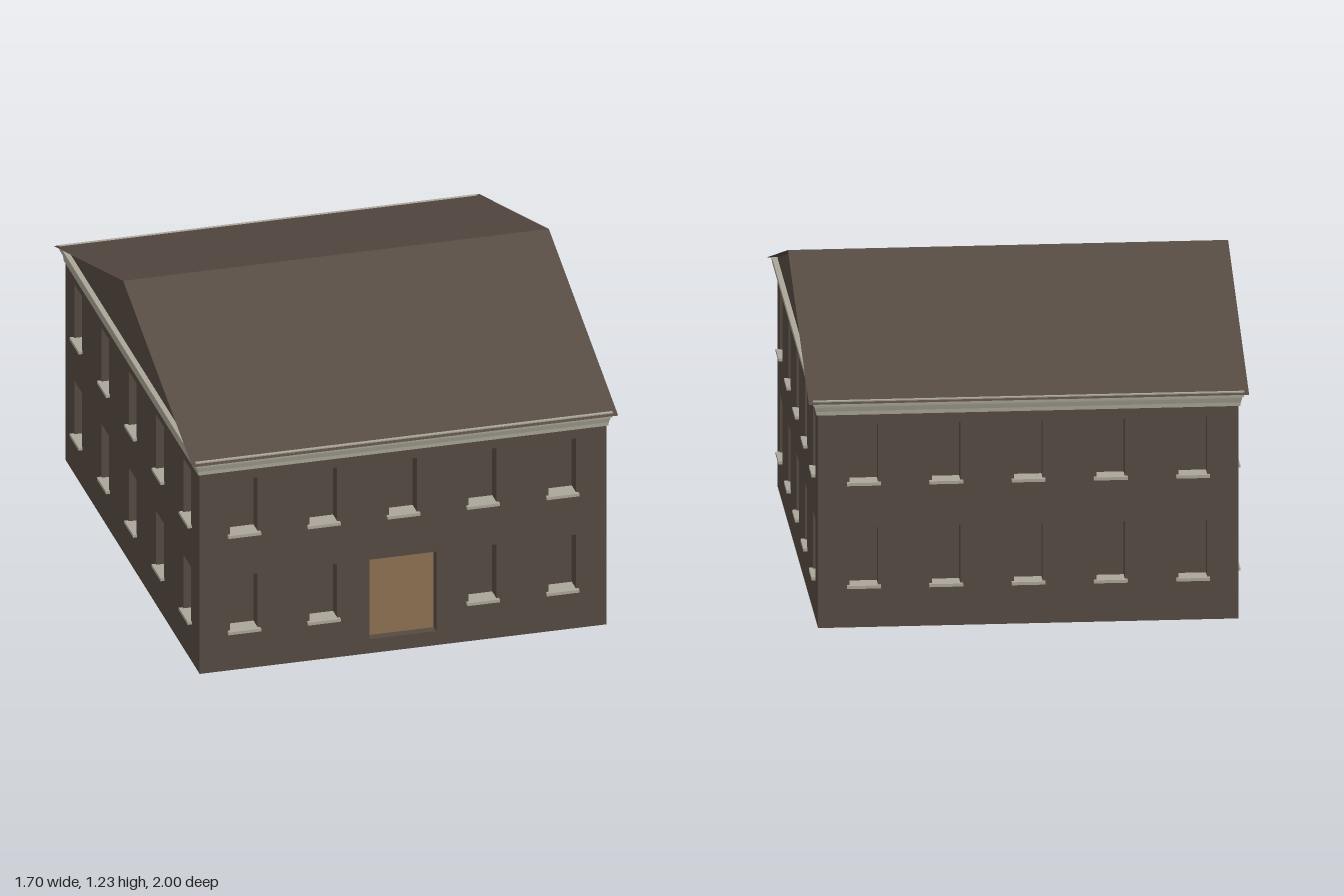
import * as THREE from 'three';

const mat = (name, color) => {
  const m = new THREE.MeshStandardMaterial({ color, side: THREE.DoubleSide });
  m.name = name;
  return m;
};

export function createModel() {
  const house = new THREE.Group();
  house.name = 'house';
  const brown = mat('brown masonry', 0x564a42);
  const stone = mat('pale stone', 0xaaa698);
  const wood = mat('door wood', 0x8c7050);

  const HX = 0.81, HZ = 0.965;        // half width and half depth of the walls
  const TOP = 0.914, RIDGE = 1.23;
  const WIN_W = 0.11, WIN_H = 0.232, WIN_D = 0.06;
  const DOOR = { w: 0.266, y: 0.06, h: 0.34, d: 0.04 };
  const ROWS = [0.168, 0.58];         // window bottoms

  const add = (parent, name, geometry, material, x = 0, y = 0, z = 0) => {
    const mesh = new THREE.Mesh(geometry, material);
    mesh.name = name;
    mesh.position.set(x, y, z);
    parent.add(mesh);
    return mesh;
  };

  // Open-fronted box lining a hole; faces beyond the kept count are dropped
  const recess = (w, h, d, withPane) => {
    const g = new THREE.BoxGeometry(w, h, d);
    const index = Array.from(g.index.array);
    g.setIndex(withPane ? [...index.slice(0, 24), ...index.slice(30)] : index.slice(0, 24));
    g.clearGroups();
    return g;
  };

  const addHole = (shape, x, y, w, h) => {
    const p = new THREE.Path();
    p.moveTo(x - w / 2, y);
    p.lineTo(x - w / 2, y + h);
    p.lineTo(x + w / 2, y + h);
    p.lineTo(x + w / 2, y);
    p.closePath();
    shape.holes.push(p);
  };

  // One wall facing +z, with its windows, sills and optional door or gable
  const makeWall = (name, half, spacing, { gable = false, door = false } = {}) => {
    const wall = new THREE.Group();
    wall.name = name;
    const s = new THREE.Shape();
    s.moveTo(-half, 0);
    s.lineTo(half, 0);
    s.lineTo(half, TOP);
    if (gable) s.lineTo(0, RIDGE - 0.002);
    s.lineTo(-half, TOP);
    s.closePath();

    ROWS.forEach((y, row) => {
      for (let i = -2; i <= 2; i++) {
        if (door && row === 0 && i === 0) continue;
        const x = i * spacing;
        addHole(s, x, y, WIN_W, WIN_H);
        add(wall, 'windowRecess', recess(WIN_W, WIN_H, WIN_D, true), brown, x, y + WIN_H / 2, -WIN_D / 2);
        add(wall, 'windowSill', new THREE.BoxGeometry(0.13, 0.012, WIN_D + 0.016), stone,
          x, y - 0.004, (0.016 - WIN_D) / 2);
      }
    });

    if (door) {
      const cy = DOOR.y + DOOR.h / 2;
      addHole(s, 0, DOOR.y, DOOR.w, DOOR.h);
      add(wall, 'doorReveal', recess(DOOR.w, DOOR.h, DOOR.d, false), brown, 0, cy, -DOOR.d / 2);
      for (const side of [-1, 1]) {
        add(wall, 'doorLeaf', new THREE.BoxGeometry(DOOR.w / 2 - 0.001, DOOR.h, 0.008), wood,
          side * DOOR.w / 4, cy, -DOOR.d);
      }
    }
    add(wall, 'wallFace', new THREE.ShapeGeometry(s), brown);
    house.add(wall);
    return wall;
  };

  makeWall('frontWall', HX, 0.317, { door: true }).position.z = HZ;
  const back = makeWall('backWall', HX, 0.317);
  back.position.z = -HZ;
  back.rotation.y = Math.PI;
  for (const side of [-1, 1]) {
    const end = makeWall(side > 0 ? 'leftWall' : 'rightWall', HZ, 0.393, { gable: true });
    end.position.x = side * HX;
    end.rotation.y = side * Math.PI / 2;
  }

  // Cornice: a stepped profile (outward offset, height) carried round the walls
  const profile = [[0, 0.853], [0.007, 0.853], [0.008, 0.868], [0.013, 0.886],
    [0.014, 0.893], [0.02, 0.893], [0.021, TOP], [0, TOP]];
  const corners = [[1, 1], [1, -1], [-1, -1], [-1, 1]];
  const pos = [];
  for (let i = 0; i < profile.length - 1; i++) {
    for (let c = 0; c < 4; c++) {
      const pt = (k, [o, y]) => {
        const [sx, sz] = corners[k % 4];
        return [sx * (HX + o), y, sz * (HZ + o)];
      };
      const a = pt(c, profile[i]), b = pt(c + 1, profile[i]);
      const d = pt(c, profile[i + 1]), e = pt(c + 1, profile[i + 1]);
      pos.push(...a, ...b, ...e, ...a, ...e, ...d);
    }
  }
  const cornice = new THREE.BufferGeometry();
  cornice.setAttribute('position', new THREE.Float32BufferAttribute(pos, 3));
  cornice.computeVertexNormals();
  add(house, 'cornice', cornice, stone);

  // Two thin roof slopes overhanging the walls
  const EAVE = 0.905, RX = 0.848;
  const rise = RIDGE - EAVE;
  for (const side of [-1, 1]) {
    const slope = new THREE.PlaneGeometry(RX * 2, Math.hypot(1, rise));
    slope.rotateX(-Math.PI / 2 + Math.atan(rise));
    if (side < 0) slope.rotateY(Math.PI);
    add(house, side > 0 ? 'frontRoofSlope' : 'backRoofSlope', slope, brown, 0, EAVE + rise / 2, side * 0.5);
  }
  return house;
}
